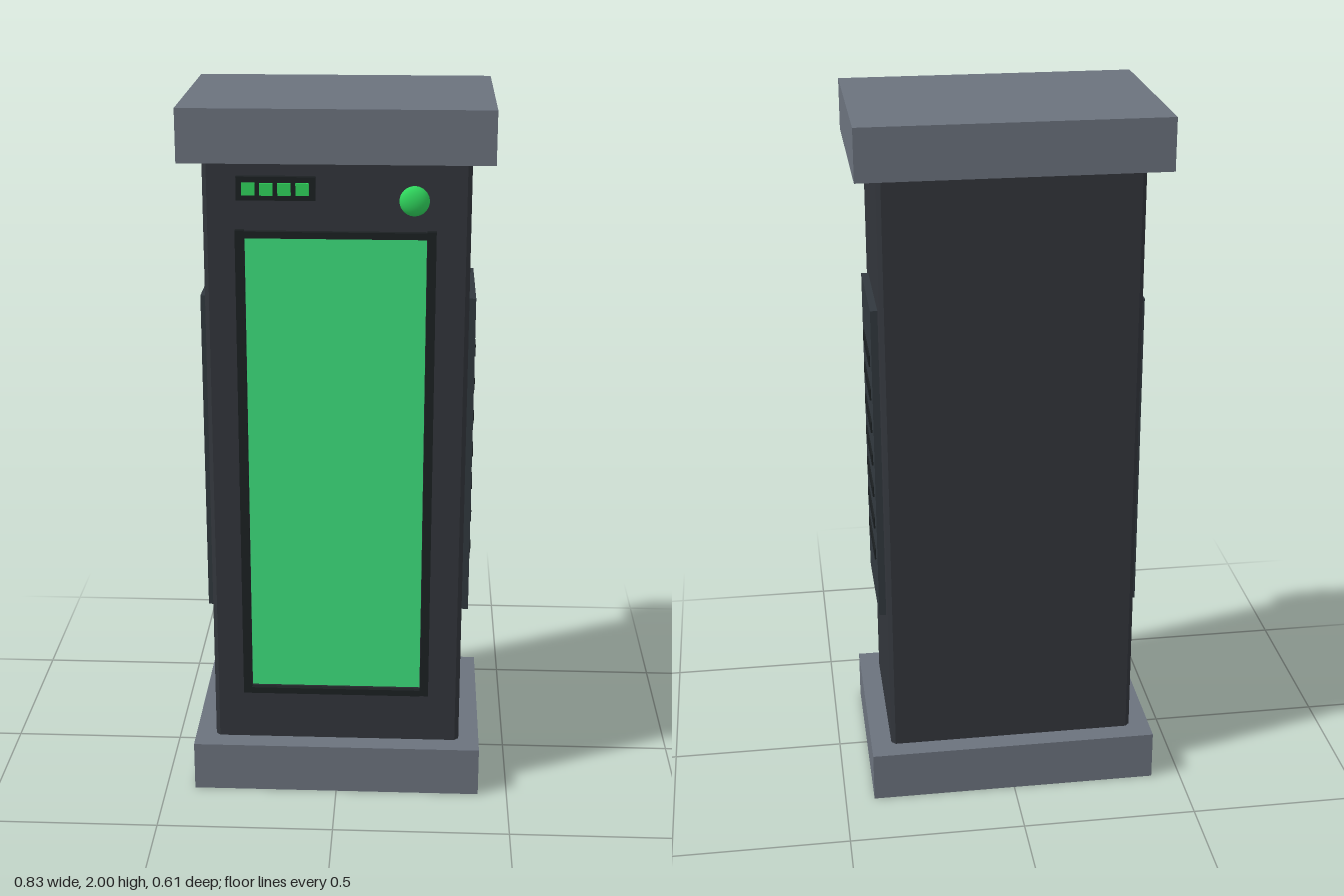
import * as THREE from 'three';

const mat = (color) => new THREE.MeshStandardMaterial({ color });

export function createModel() {
  const model = new THREE.Group();
  const slate = mat(0x6b727d), shell = mat(0x32353b), grille = mat(0x31383e);
  const black = mat(0x1b2022), glow = mat(0x3ddf7d), lamp = mat(0x2fd45c);

  const add = (name, geometry, material, x = 0, y = 0, z = 0) => {
    const mesh = new THREE.Mesh(geometry, material);
    mesh.name = name;
    mesh.position.set(x, y, z);
    model.add(mesh);
    return mesh;
  };
  // Box given by its limits on each axis
  const box = (name, material, [x0, x1], [y0, y1], [z0, z1]) =>
    add(name, new THREE.BoxGeometry(x1 - x0, y1 - y0, z1 - z0), material,
      (x0 + x1) / 2, (y0 + y1) / 2, (z0 + z1) / 2);

  // Base and cap slabs
  box('base', slate, [-0.416, 0.416], [0, 0.145], [-0.304, 0.291]);
  box('cap', slate, [-0.416, 0.416], [1.857, 2], [-0.304, 0.291]);

  // Cabinet column with bevelled upright corners
  const hx = 0.357, hz = 0.2385, c = 0.012;
  const outline = new THREE.Shape([
    [hx - c, -hz], [hx, -hz + c], [hx, hz - c], [hx - c, hz],
    [-hx + c, hz], [-hx, hz - c], [-hx, -hz + c], [-hx + c, -hz],
  ].map(([x, y]) => new THREE.Vector2(x, y)));
  const column = new THREE.ExtrudeGeometry(outline, { depth: 1.714, bevelEnabled: false });
  column.rotateX(-Math.PI / 2);
  add('cabinet', column, shell, 0, 0.144, -0.0065);

  // Lit front panel and the thin frame standing in front of it
  box('screen', glow, [-0.24, 0.24], [0.345, 1.663], [0.225, 0.286]);
  for (const s of [-1, 1]) {
    const upright = new THREE.BoxGeometry(0.024, 1.36, 0.015);
    add('frameUpright', upright, black, s * 0.253, 1.003, 0.291);
    add('frameRail', new THREE.BoxGeometry(0.482, 0.018, 0.015), black,
      0, 1.003 + s * 0.669, 0.2965);
  }

  // Indicator strip with four lights
  box('indicatorStrip', black, [-0.265, -0.055], [1.752, 1.815], [0.225, 0.25]);
  for (let i = 0; i < 4; i++) {
    add('indicatorLight', new THREE.BoxGeometry(0.035, 0.033, 0.01), lamp,
      -0.232 + i * 0.0475, 1.783, 0.252);
  }

  // Domed button
  const button = add('button', new THREE.SphereGeometry(0.04, 32, 20), lamp, 0.206, 1.755, 0.253);
  button.scale.z = 0.6;

  // Vent plates with seven slats on both sides
  for (const s of [-1, 1]) {
    add('ventPlate', new THREE.BoxGeometry(0.03, 0.93, 0.333), grille, s * 0.362, 1.003, -0.0035);
    for (let i = 0; i < 7; i++) {
      add('ventSlat', new THREE.BoxGeometry(0.012, 0.032, 0.218), black,
        s * 0.375, 0.707 + i * 0.0992, -0.004);
    }
  }
  return model;
}
